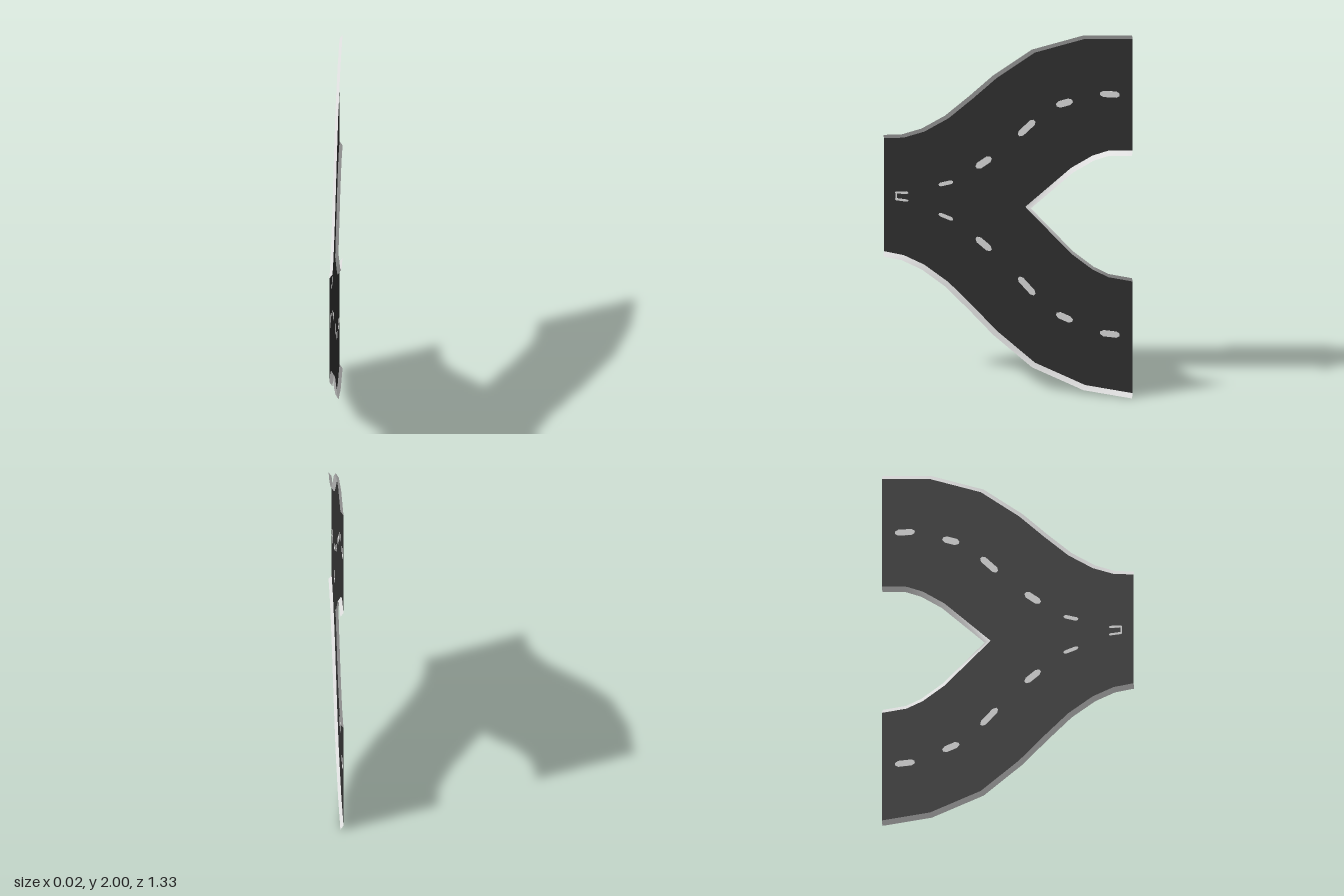
import * as THREE from 'three';

const ROAD_X = -0.007, LIP_X = 0.009, KERB = 0.024;

const asphalt = new THREE.MeshStandardMaterial({ color: 0x303030, side: THREE.DoubleSide });
asphalt.name = 'asphalt';
const paint = new THREE.MeshStandardMaterial({ color: 0xe0e0e0, side: THREE.DoubleSide });
paint.name = 'pale paint';

// Plan coordinates are (u, v) with u = -z and v = y; the lower half mirrors about v = 1.
const flip = ([u, v]) => [u, 2 - v];
const outerTop = [[-0.665, 1.335], [-0.565, 1.347], [-0.46, 1.388], [-0.335, 1.47], [-0.205, 1.59],
  [-0.077, 1.715], [0.13, 1.875], [0.405, 1.977], [0.665, 2]];
const notchTop = [[0.125, 1], [0.35, 1.217], [0.46, 1.292], [0.54, 1.325], [0.665, 1.337]];
const notch = [...notchTop.slice(1).reverse().map(flip), ...notchTop];

// Mitred offset of an open line, to the right of its direction; the ends stay on their u
function offset(line, d) {
  return line.map((p, i) => {
    const a = line[Math.max(i - 1, 0)], b = line[Math.min(i + 1, line.length - 1)];
    const unit = (s, e) => new THREE.Vector2(e[1] - s[1], s[0] - e[0]).normalize();
    if (a === p || b === p) {
      const n = a === p ? unit(p, b) : unit(a, p);
      return [p[0], p[1] + Math.sign(n.y) * d];
    }
    const n1 = unit(a, p), n2 = unit(p, b), m = n1.clone().add(n2).normalize();
    const k = d / m.dot(n1);
    return [p[0] + m.x * k, p[1] + m.y * k];
  });
}

// Sloping kerb strip between the road edge and the raised free edge
function kerb(name, free, road) {
  const pos = [], idx = [];
  free.forEach((f, i) => {
    pos.push(LIP_X, f[1], -f[0], ROAD_X, road[i][1], -road[i][0]);
    if (i) {
      const k = 2 * i;
      idx.push(k - 2, k - 1, k, k, k - 1, k + 1);
    }
  });
  const g = new THREE.BufferGeometry();
  g.setAttribute('position', new THREE.Float32BufferAttribute(pos, 3));
  g.setIndex(idx);
  g.computeVertexNormals();
  const mesh = new THREE.Mesh(g, paint);
  mesh.name = name;
  return mesh;
}

// Lane dash with pointed ends, showing on both faces of the road
function dash(u, v, length, width, angle) {
  const l = length / 2, w = width / 2, c = Math.min(w, l / 2);
  const shape = new THREE.Shape([[-l, -w * 0.4], [-l + c, -w], [l - c, -w], [l, -w * 0.4],
    [l, w * 0.4], [l - c, w], [-l + c, w], [-l, w * 0.4]].map(p => new THREE.Vector2(...p)));
  const g = new THREE.ExtrudeGeometry(shape, { depth: 0.004, bevelEnabled: false });
  g.rotateZ(angle * Math.PI / 180).translate(u, v, ROAD_X - 0.002).rotateY(Math.PI / 2);
  const mesh = new THREE.Mesh(g, paint);
  mesh.name = 'laneDash';
  return mesh;
}

export function createModel() {
  const group = new THREE.Group();
  group.name = 'forkedRoad';

  // Road surface inside the kerbs
  const topEdge = offset(outerTop, KERB);
  const notchEdge = offset(notch, -KERB);
  const outline = [...topEdge.map(flip), ...notchEdge, ...[...topEdge].reverse()];
  const g = new THREE.ShapeGeometry(new THREE.Shape(outline.map(p => new THREE.Vector2(...p))));
  g.translate(0, 0, ROAD_X).rotateY(Math.PI / 2);
  const road = new THREE.Mesh(g, asphalt);
  road.name = 'roadSurface';
  group.add(road);

  // Kerbs
  group.add(kerb('upperKerb', outerTop, topEdge));
  group.add(kerb('lowerKerb', outerTop.map(flip).reverse(), topEdge.map(flip).reverse()));
  group.add(kerb('notchKerb', [...notch].reverse(), [...notchEdge].reverse()));

  // Lane dashes along both branches
  const dashes = [[-0.334, 1.092, 0.08, 0.02, 18], [-0.132, 1.224, 0.1, 0.036, 38],
    [0.098, 1.435, 0.122, 0.034, 46], [0.3, 1.59, 0.092, 0.036, 20], [0.543, 1.66, 0.104, 0.034, 2],
    [-0.57, 1.02, 0.07, 0.012, 3]];
  for (const [u, v, l, w, a] of dashes) {
    group.add(dash(u, v, l, w, a), dash(u, 2 - v, l, w, -a));
  }
  // Short bar joining the two lanes at the stem
  group.add(dash(-0.6, 1, 0.04, 0.008, 90));

  return group;
}
